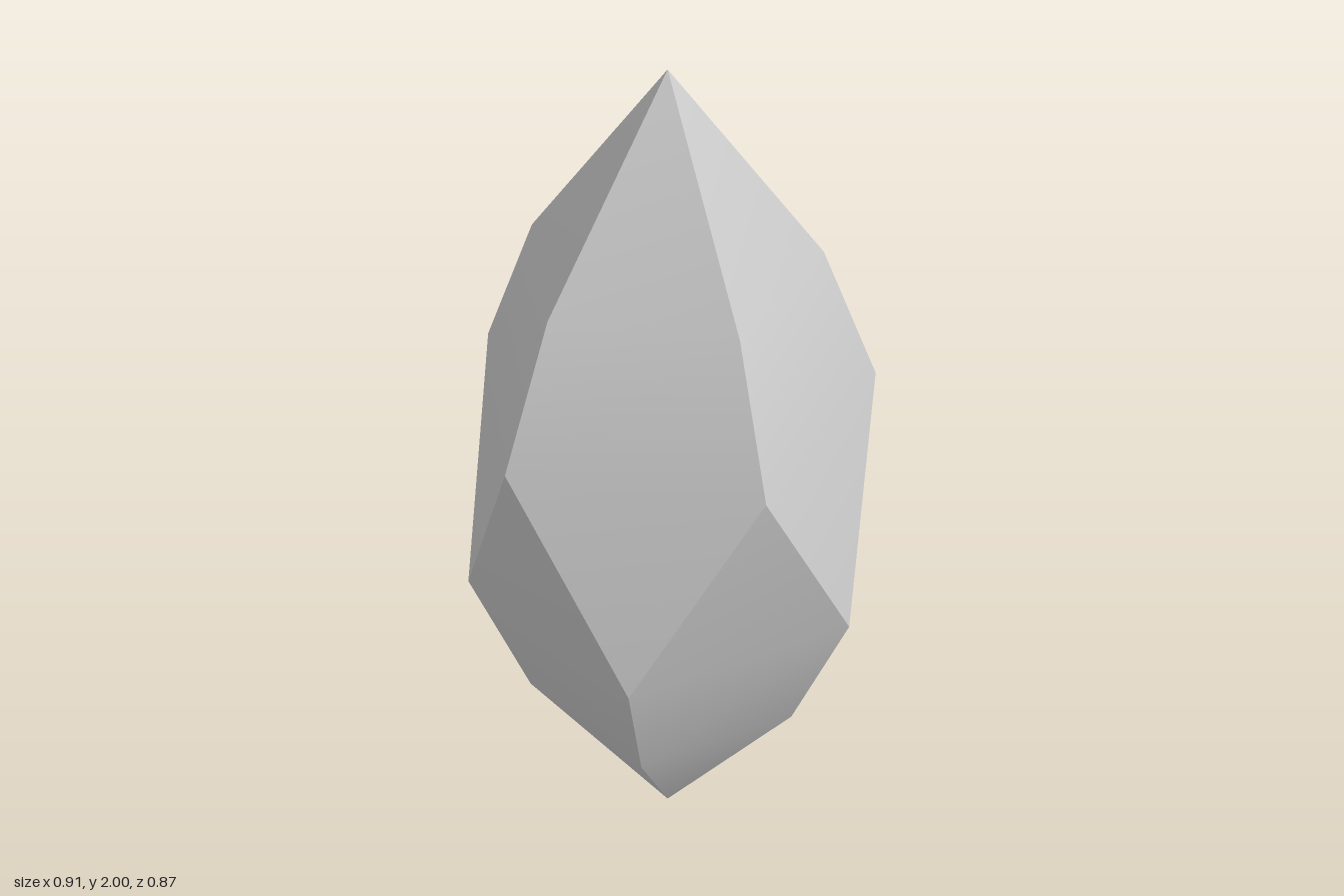
import * as THREE from 'three';
import { toCreasedNormals } from 'three/addons/utils/BufferGeometryUtils.js';

const SIDES = 5;

// Five-sided ring of points, closed by wrapping the index
function ring(radius, y, startAngle) {
  const points = [];
  for (let i = 0; i < SIDES; i++) {
    const a = startAngle + (i / SIDES) * Math.PI * 2;
    points.push([Math.cos(a) * radius, y, Math.sin(a) * radius]);
  }
  return (i) => points[(i + SIDES) % SIDES];
}

export function createModel() {
  const group = new THREE.Group();
  group.name = 'crystal';

  // Two tips, with the lower rings turned half a side from the upper ones
  const twist = Math.PI / SIDES;
  const topTip = [0, 2, 0];
  const bottomTip = [0, 0, 0];
  const upperMid = ring(0.328, 1.565, Math.PI);
  const upper = ring(0.457, 1.25, Math.PI);
  const lower = ring(0.457, 0.76, Math.PI + twist);
  const lowerMid = ring(0.328, 0.43, Math.PI + twist);

  const positions = [];
  const tri = (a, b, c) => positions.push(...a, ...b, ...c);
  const quad = (a, b, c, d) => { tri(a, b, c); tri(a, c, d); };

  for (let i = 0; i < SIDES; i++) {
    // Upper facet, bending in towards the top tip
    tri(upperMid(i + 1), upperMid(i), topTip);
    quad(upper(i + 1), upper(i), upperMid(i), upperMid(i + 1));
    // Zigzag band of triangles around the middle
    tri(upper(i + 1), lower(i), upper(i));
    tri(lower(i), lower(i - 1), upper(i));
    // Lower facet, bending in towards the bottom tip
    quad(lowerMid(i + 1), lowerMid(i), lower(i), lower(i + 1));
    tri(bottomTip, lowerMid(i), lowerMid(i + 1));
  }

  const geometry = new THREE.BufferGeometry();
  geometry.setAttribute('position', new THREE.Float32BufferAttribute(positions, 3));

  // Soft bend inside each facet, sharp edges between facets
  const material = new THREE.MeshStandardMaterial({ color: 0xcccccc });
  const gem = new THREE.Mesh(toCreasedNormals(geometry, THREE.MathUtils.degToRad(20)), material);
  gem.name = 'gem';
  group.add(gem);
  return group;
}
